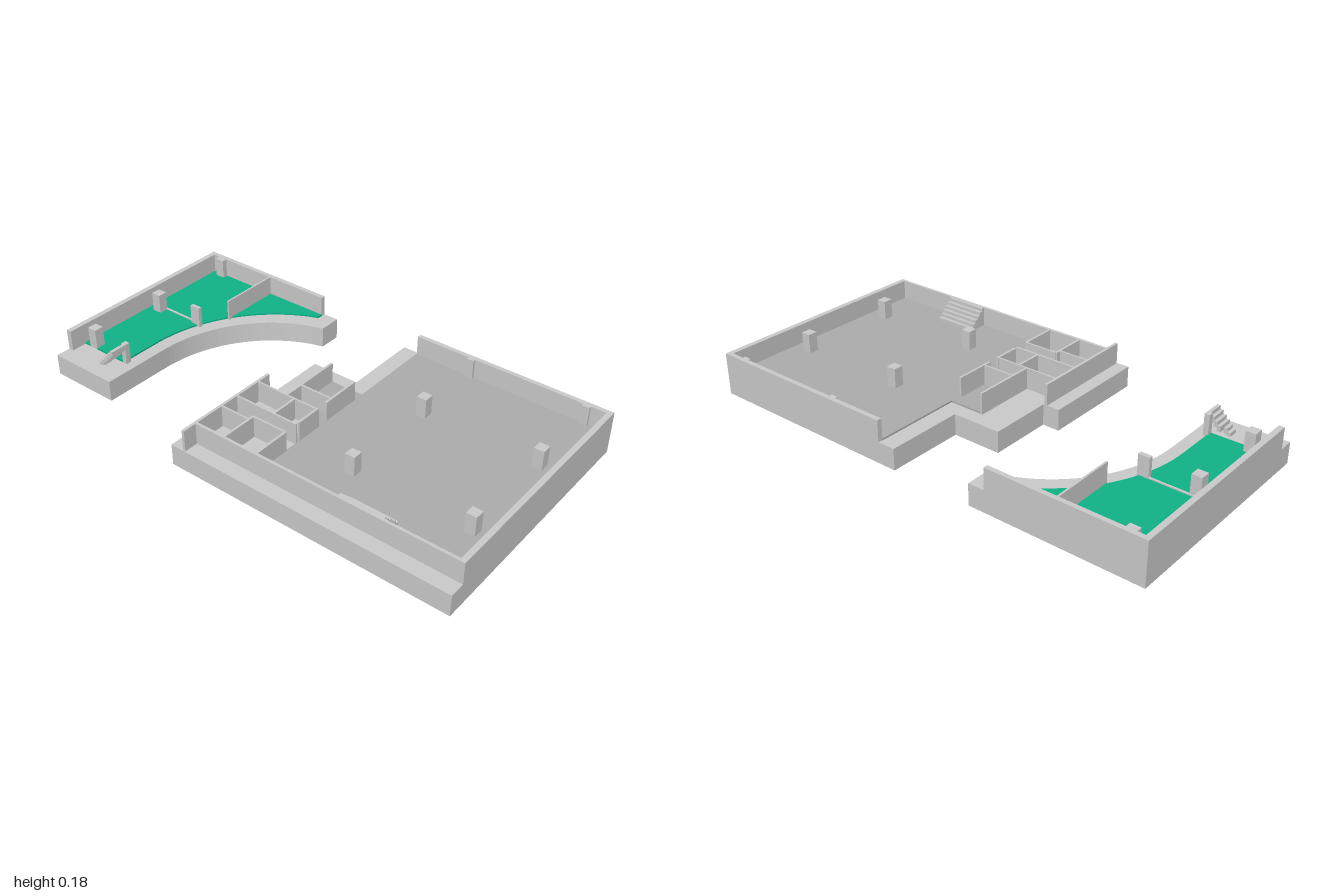
import * as THREE from 'three';

const GREY = new THREE.MeshStandardMaterial({ color: 0xcccccc, flatShading: true });
const GREEN = new THREE.MeshStandardMaterial({ color: 0x10b488, flatShading: true });
const FLOOR_GREY = new THREE.MeshStandardMaterial({ color: 0xadadad, flatShading: true });
const DECK = 0.09, FLOOR = 0.097, TOP = 0.18;

// Box given by its plan rectangle and its bottom and top heights
function box(parent, name, x0, x1, z0, z1, y0 = DECK, y1 = TOP, mat = GREY) {
  const mesh = new THREE.Mesh(new THREE.BoxGeometry(x1 - x0, y1 - y0, z1 - z0), mat);
  mesh.position.set((x0 + x1) / 2, (y0 + y1) / 2, (z0 + z1) / 2);
  mesh.name = name;
  parent.add(mesh);
  return mesh;
}

// Plan outline (x, z) raised to a slab
function slab(parent, name, shape, y0, y1, mat = GREY) {
  const geo = new THREE.ExtrudeGeometry(shape, { depth: y1 - y0, bevelEnabled: false, curveSegments: 32 });
  geo.rotateX(-Math.PI / 2).translate(0, y0, 0);
  const mesh = new THREE.Mesh(geo, mat);
  mesh.name = name;
  parent.add(mesh);
}

function outline(points) {
  return new THREE.Shape(points.map(([x, z]) => new THREE.Vector2(x, -z)));
}

function columns(parent, places, size = 0.042) {
  for (const [x, z] of places) {
    box(parent, 'column', x - size / 2, x + size / 2, z - size / 2, z + size / 2);
  }
}

// Smaller building with a concave curved side
function curvedBuilding() {
  const g = new THREE.Group();
  g.name = 'curvedBuilding';

  const base = new THREE.Shape();
  base.moveTo(-1, -0.405);
  base.lineTo(-0.69, -0.405);
  base.lineTo(-0.69, -0.1);
  base.bezierCurveTo(-0.69, 0.18, -0.5, 0.39, -0.283, 0.44);
  base.lineTo(-0.283, 0.538);
  base.lineTo(-1, 0.538);
  slab(g, 'curvedBase', base, 0, DECK);

  const floor = new THREE.Shape();
  floor.moveTo(-0.977, -0.272);
  floor.lineTo(-0.747, -0.272);
  floor.lineTo(-0.747, -0.08);
  floor.bezierCurveTo(-0.745, 0.2, -0.56, 0.42, -0.352, 0.495);
  floor.lineTo(-0.352, 0.52);
  floor.lineTo(-0.977, 0.52);
  slab(g, 'greenFloor', floor, DECK - 0.005, FLOOR, GREEN);

  box(g, 'backWall', -1, -0.352, -0.538, -0.518);
  box(g, 'sideWall', -1, -0.977, -0.538, 0.34);
  box(g, 'partition', -0.649, -0.641, -0.518, -0.245);
  box(g, 'floorStrip', -0.977, -0.74, -0.137, -0.129, DECK, 0.102);
  box(g, 'pier', -0.745, -0.698, -0.137, -0.12);
  columns(g, [[-0.925, -0.515], [-0.925, -0.113], [-0.925, 0.252]]);

  // Open stair: slanted stepped flight with a low first landing
  const stair = new THREE.Group();
  stair.name = 'sideStair';
  const n = 6, run = 0.085 / n, rise = (TOP - DECK) / n;
  for (let i = 0; i < n; i++) {
    const x = -0.815 + i * run, y = DECK + i * rise;
    box(stair, 'step', x, x + run, i < 2 ? 0.3 : 0.272, 0.34, Math.max(DECK, y - rise * 0.6), y + rise);
  }
  box(stair, 'stairPost', -0.752, -0.73, 0.248, 0.272);
  g.add(stair);
  return g;
}

// Large hall with a row of small rooms on its right side
function hall() {
  const g = new THREE.Group();
  g.name = 'hall';
  slab(g, 'hallBase', outline([
    [-0.213, 0.538], [1, 0.538], [1, -0.538], [0.07, -0.538],
    [0.07, -0.208], [-0.14, -0.208], [-0.14, 0.065], [-0.213, 0.065],
  ]), 0, DECK);
  slab(g, 'hallFloor', outline([
    [0.14, 0.465], [0.978, 0.465], [0.978, -0.52], [0.143, -0.52],
    [0.143, -0.145], [-0.005, -0.145], [-0.005, 0.128], [0.14, 0.128],
  ]), DECK - 0.005, FLOOR, FLOOR_GREY);

  // Outer walls
  box(g, 'backWall', 0.145, 1, -0.538, -0.518);
  box(g, 'longSideWall', 0.977, 1, -0.538, 0.475);
  box(g, 'frontWall', -0.145, 1, 0.463, 0.475);
  box(g, 'roomSideWall', -0.157, -0.145, 0.065, 0.535);

  // Room partitions along x: [x0, x1, z]
  for (const [x0, x1, z] of [
    [-0.145, 0.14, 0.128], [-0.145, 0.14, 0.248], [-0.145, -0.014, 0.332],
    [-0.014, 0.14, 0.308], [-0.005, 0.135, 0.042],
  ]) box(g, 'roomWall', x0, x1, z - 0.004, z + 0.004);

  // Room partitions along z: [x, z0, z1]
  for (const [x, z0, z1] of [
    [-0.007, -0.147, 0.128], [0.032, 0.128, 0.248], [-0.014, 0.308, 0.465],
    [0.138, 0.12, 0.235], [0.138, 0.308, 0.465], [0.138, -0.1, 0.075],
  ]) box(g, 'roomWall', x - 0.005, x + 0.005, z0, z1);

  columns(g, [[0.4, -0.19], [0.895, -0.19], [0.4, 0.252], [0.895, 0.252]]);
  for (const x of [0.4, 0.9]) box(g, 'wallColumn', x - 0.016, x + 0.016, -0.52, -0.506);

  // Stair climbing to the front wall
  const n = 6, run = 0.085 / n, rise = (TOP - FLOOR) / n;
  for (let i = 0; i < n; i++) {
    box(g, 'hallStep', 0.497, 0.685, 0.379 + i * run, 0.379 + (i + 1) * run, DECK, FLOOR + (i + 1) * rise - 0.001);
  }
  return g;
}

export function createModel() {
  const model = new THREE.Group();
  model.name = 'buildingFloorModel';
  model.add(curvedBuilding(), hall());
  return model;
}
